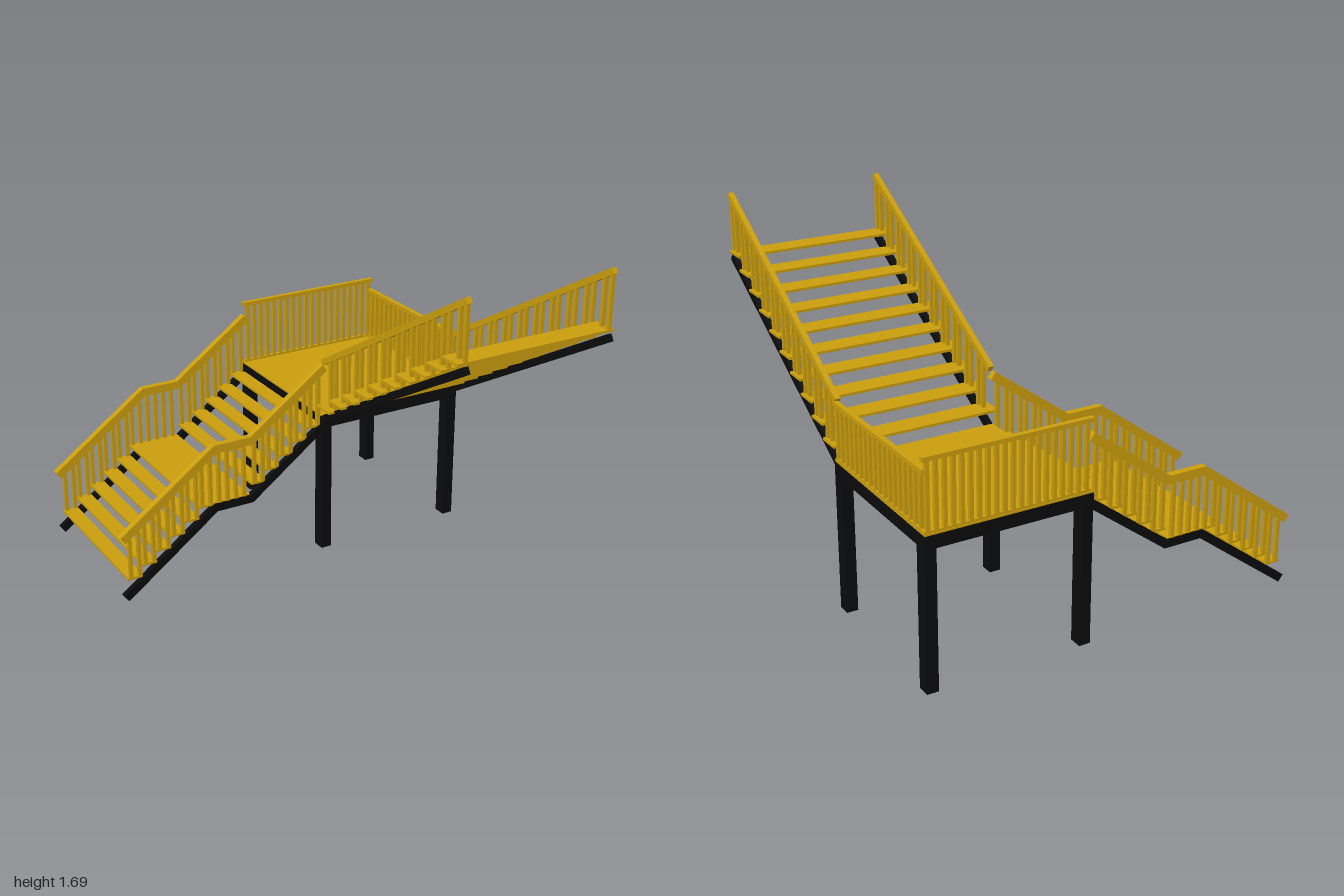
import * as THREE from 'three';

const wood = new THREE.MeshStandardMaterial({ color: 0xc99d0c });
const steel = new THREE.MeshStandardMaterial({ color: 0x0b0b0b });

// Box given by its min and max corners
function box(parent, name, mat, [x0, y0, z0], [x1, y1, z1]) {
  const m = new THREE.Mesh(new THREE.BoxGeometry(x1 - x0, y1 - y0, z1 - z0), mat);
  m.position.set((x0 + x1) / 2, (y0 + y1) / 2, (z0 + z1) / 2);
  m.name = name;
  parent.add(m);
  return m;
}

// Mitred bar following a polyline in the XY plane, extruded sideways
function beam(name, mat, path, thick, width) {
  const pts = path.map(p => new THREE.Vector2(...p));
  const normals = pts.slice(1).map((p, i) => {
    const d = p.clone().sub(pts[i]).normalize();
    return new THREE.Vector2(-d.y, d.x);
  });
  const offset = s => pts.map((p, i) => {
    const a = normals[Math.max(i - 1, 0)], b = normals[Math.min(i, normals.length - 1)];
    const m = a.clone().add(b).normalize();
    return p.clone().addScaledVector(m, s * thick / 2 / m.dot(a));
  });
  const shape = new THREE.Shape([...offset(-1), ...offset(1).reverse()]);
  const geo = new THREE.ExtrudeGeometry(shape, { depth: width, bevelEnabled: false });
  geo.translate(0, 0, -width / 2);
  const m = new THREE.Mesh(geo, mat);
  m.name = name;
  return m;
}

// Height of a polyline at x
function heightAt(path, x) {
  for (let i = 1; i < path.length; i++) {
    const [x0, y0] = path[i - 1], [x1, y1] = path[i];
    if (x <= x1 || i === path.length - 1) return y0 + (y1 - y0) * (x - x0) / (x1 - x0);
  }
}

// A flight running along local +x: treads, two stringers, two railings
function flight(name, o) {
  const g = new THREE.Group();
  g.name = name;
  for (const t of o.treads) {
    box(g, 'tread', wood, [t.x0, t.y - 0.012, o.treadZ[0]], [t.x1, t.y, o.treadZ[1]]);
  }
  for (const z of o.sides) {
    const stringer = beam('stringer', steel, o.stringer, o.stringerThick, o.stringerWidth);
    const rail = beam('handrail', wood, o.rail, o.railThick, o.railWidth);
    stringer.position.z = rail.position.z = z;
    g.add(stringer, rail);
    for (const t of o.treads) {
      for (const x of t.bars) {
        box(g, 'baluster', wood, [x - 0.009, t.y - 0.006, z - 0.009],
          [x + 0.009, heightAt(o.rail, x), z + 0.009]);
      }
    }
  }
  return g;
}

export function createModel() {
  const model = new THREE.Group();
  model.name = 'staircase';

  // Platform: black frame, wooden deck, four posts
  const platform = new THREE.Group();
  platform.name = 'platform';
  model.add(platform);
  box(platform, 'frame', steel, [0.14, 0.667, -1], [0.943, 0.728, -0.157]);
  box(platform, 'deck', wood, [0.142, 0.728, -0.998], [0.941, 0.736, -0.159]);
  for (const x of [0.14, 0.888]) {
    for (const z of [-0.995, -0.222]) {
      box(platform, 'post', steel, [x, 0, z], [x + 0.055, 0.67, z + 0.065]);
    }
  }

  // Back railing
  box(platform, 'backRail', wood, [0.145, 1.05, -0.998], [0.945, 1.07, -0.973]);
  box(platform, 'backBottomRail', wood, [0.15, 0.735, -0.995], [0.94, 0.747, -0.976]);
  for (let i = 0; i < 20; i++) {
    const x = 0.172 + i * 0.0395;
    box(platform, 'baluster', wood, [x - 0.009, 0.74, -0.995], [x + 0.009, 1.055, -0.977]);
  }

  // Side railing
  box(platform, 'sideRail', wood, [0.918, 0.993, -0.985], [0.943, 1.013, -0.16]);
  box(platform, 'sideBottomRail', wood, [0.921, 0.735, -0.985], [0.94, 0.747, -0.16]);
  for (let i = 0; i < 18; i++) {
    const z = -0.178 - i * 0.0455;
    box(platform, 'baluster', wood, [0.921, 0.74, z - 0.009], [0.939, 1.0, z + 0.009]);
  }

  // Lower flight with a landing part way up
  const lower = [];
  for (let i = 0; i < 11; i++) {
    const landing = i === 5;
    const x0 = i <= 5 ? -0.92 + i * 0.077 : -0.25 + (i - 6) * 0.078;
    const n = landing ? 6 : 2;
    if (i === 10) continue;
    lower.push({
      x0, x1: landing ? -0.262 : x0 + 0.077, y: 0.122 + i * 0.0565,
      bars: Array.from({ length: n }, (_, k) => x0 + 0.018 + k * 0.0455),
    });
  }
  lower.push({ x0: 0.062, x1: 0.142, y: 0.687, bars: [0.08, 0.125] });
  model.add(flight('lowerFlight', {
    treads: lower, treadZ: [-0.99, -0.168], sides: [-0.983, -0.173],
    stringer: [[-0.935, 0.02], [-0.447, 0.38], [-0.252, 0.38], [0.16, 0.685]],
    stringerThick: 0.04, stringerWidth: 0.028,
    rail: [[-0.94, 0.332], [-0.447, 0.69], [-0.252, 0.69], [0.155, 0.985]],
    railThick: 0.042, railWidth: 0.034,
  }));

  // Upper flight, turned to climb towards the front
  const upper = [];
  for (let i = 0; i < 10; i++) {
    const x0 = -0.157 + i * 0.1138;
    upper.push({ x0, x1: x0 + 0.114, y: 0.8 + i * 0.0669, bars: [x0 + 0.06, x0 + 0.104] });
  }
  const up = flight('upperFlight', {
    treads: upper, treadZ: [-0.945, -0.11], sides: [-0.155, -0.922],
    stringer: [[-0.16, 0.715], [0.988, 1.367]],
    stringerThick: 0.036, stringerWidth: 0.026,
    rail: [[-0.165, 1.012], [0.982, 1.673]],
    railThick: 0.03, railWidth: 0.026,
  });
  up.rotation.y = -Math.PI / 2;
  model.add(up);

  return model;
}
